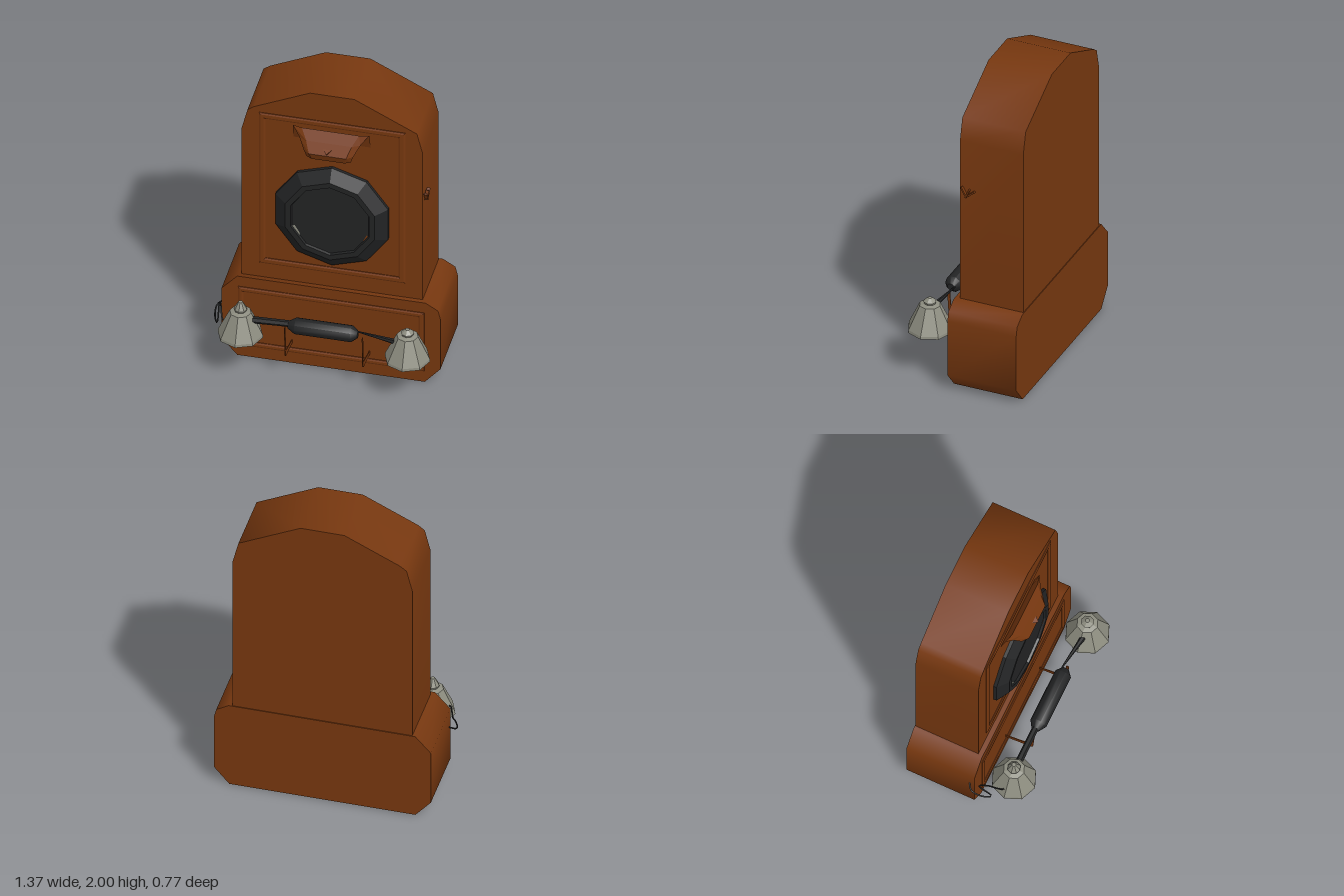
import * as THREE from 'three';
import { toCreasedNormals } from 'three/addons/utils/BufferGeometryUtils.js';

const V = (x, y, z) => new THREE.Vector3(x, y, z);

function flat(geometry) {
  const g = geometry.index ? geometry.toNonIndexed() : geometry;
  g.computeVertexNormals();
  return g;
}

function shapeOf(points) {
  return new THREE.Shape(points.map(([x, y]) => new THREE.Vector2(x, y)));
}

function rect(x0, x1, y0, y1) {
  return [[x0, y0], [x1, y0], [x1, y1], [x0, y1]];
}

export function createModel() {
  const model = new THREE.Group();
  model.name = 'wallTelephone';

  const paint = (name, hex, double) => {
    const m = new THREE.MeshStandardMaterial({ color: hex });
    m.name = name;
    if (double) m.side = THREE.DoubleSide;
    return m;
  };
  const wood = paint('wood', 0x76370f, true);
  const black = paint('black', 0x222324);
  const metal = paint('metal', 0x8d8d80);

  const add = (name, geometry, material, parent = model) => {
    const mesh = new THREE.Mesh(geometry, material);
    mesh.name = name;
    parent.add(mesh);
    return mesh;
  };

  // Cabinet blocks: outline extruded between two depths
  const block = (name, points, z0, z1) => {
    const g = new THREE.ExtrudeGeometry(shapeOf(points), { depth: z1 - z0, bevelEnabled: false });
    g.translate(0, 0, z0);
    add(name, toCreasedNormals(g, 0.9), wood);
  };
  block('upperCabinet', [
    [-0.535, 0.58], [0.565, 0.58], [0.565, 1.67], [0.53, 1.81], [0.15, 2],
    [-0.12, 2], [-0.46, 1.84], [-0.5, 1.81], [-0.535, 1.67],
  ], -0.38, 0.03);
  block('lowerCabinet', [
    [-0.555, 0], [0.585, 0], [0.68, 0.11], [0.68, 0.48], [0.665, 0.54],
    [0.59, 0.585], [-0.555, 0.585], [-0.65, 0.48], [-0.65, 0.11],
  ], -0.385, 0.06);

  // Raised rectangular mouldings on both fronts
  const moulding = (name, x0, x1, y0, y1, w, z) => {
    const s = shapeOf(rect(x0, x1, y0, y1));
    s.holes.push(shapeOf(rect(x0 + w, x1 - w, y0 + w, y1 - w)));
    const g = new THREE.ExtrudeGeometry(s, {
      depth: 0.004, bevelThickness: 0.005, bevelSize: 0.01, bevelOffset: -0.01, bevelSegments: 1,
    });
    g.translate(0, 0, z);
    add(name, g, wood);
  };
  moulding('upperMoulding', -0.43, 0.46, 0.69, 1.805, 0.04, 0.03);
  moulding('lowerMoulding', -0.55, 0.582, 0.08, 0.512, 0.034, 0.06);

  // Ten-sided dial with a raised rim and a sunken face
  const dialProfile = [[0.36, 0.03], [0.36, 0.05], [0.285, 0.1], [0.25, 0.1], [0.245, 0.085], [0, 0.085]];
  const dial = new THREE.LatheGeometry(dialProfile.map(([r, y]) => new THREE.Vector2(r, y)), 10);
  dial.rotateX(Math.PI / 2).translate(0.017, 1.12, 0);
  add('dial', flat(dial), black);

  // Small slivers showing at the lower edge of the dial face
  const sliver = (name, points, material) =>
    add(name, new THREE.ShapeGeometry(shapeOf(points)).translate(0, 0, 0.088), material);
  sliver('dialMetalSliver', [[-0.215, 1.04], [-0.165, 0.97], [-0.17, 1.0], [-0.2, 1.05]], metal);
  sliver('dialLowerSliver', [[-0.09, 0.895], [-0.055, 0.883], [-0.055, 0.9]], wood);
  sliver('dialSideSliver', [[0.215, 1.0], [0.245, 1.03], [0.24, 1.05]], wood);

  // Bent hood: rows of [half width, y, edge z, middle z], joined in strips
  const rows = [
    [0.235, 1.66, 0.03, 0.03], [0.232, 1.77, 0.06, 0.075], [0.185, 1.71, 0.09, 0.115],
    [0.15, 1.645, 0.125, 0.155], [0.135, 1.6, 0.12, 0.14],
  ];
  const steps = [-1, -0.75, 0.75, 1];
  const pos = [];
  const idx = [];
  rows.forEach(([w, y, ze, zm], r) => steps.forEach((t, c) => {
    pos.push(0.015 + w * t, y, Math.abs(t) === 1 ? ze : zm);
    if (r && c) {
      const d = r * 4 + c;
      idx.push(d, d - 4, d - 5, d, d - 5, d - 1);
    }
  }));
  const hood = new THREE.BufferGeometry();
  hood.setAttribute('position', new THREE.Float32BufferAttribute(pos, 3));
  hood.setIndex(idx);
  add('hood', flat(hood), wood);
  const stud = new THREE.ConeGeometry(0.03, 0.03, 3);
  stud.rotateX(Math.PI / 2).translate(0.01, 1.665, 0.152);
  add('hoodStud', flat(stud), wood);

  // Handset grip and rods, lying along x
  const handset = new THREE.Group();
  handset.name = 'handset';
  model.add(handset);
  const grip = [[0, -0.2], [0.024, -0.2], [0.052, -0.155], [0.052, 0.185], [0.022, 0.222], [0, 0.222]];
  const gripGeo = new THREE.LatheGeometry(grip.map(([r, y]) => new THREE.Vector2(r, y)), 10);
  gripGeo.rotateZ(-Math.PI / 2).translate(0, 0.422, 0.243);
  add('grip', toCreasedNormals(gripGeo, 0.7), black, handset);
  const rod = (name, a, b, ra, rb) => {
    const g = new THREE.CylinderGeometry(rb, ra, a.distanceTo(b), 6);
    const m = add(name, flat(g), black, handset);
    m.position.copy(a).lerp(b, 0.5);
    m.quaternion.setFromUnitVectors(V(0, 1, 0), b.clone().sub(a).normalize());
  };
  rod('rightRod', V(-0.19, 0.43, 0.242), V(-0.47, 0.418, 0.242), 0.02, 0.022);
  rod('leftRod', V(0.215, 0.426, 0.219), V(0.46, 0.415, 0.252), 0.004, 0.018);

  // Faceted cups at each end of the handset
  const cup = (name, x, tip) => {
    const p = [[0, 0.3], [0.125, 0.297], [0.138, 0.3], [0.136, 0.318], [0.065, 0.47],
      [0.035, 0.478], [0.04, 0.492], [0.013, tip], [0, tip]];
    const g = new THREE.LatheGeometry(p.map(([r, y]) => new THREE.Vector2(r, y)), 8);
    g.translate(x, 0, 0.243);
    add(name, flat(g), metal, handset);
  };
  cup('rightCup', -0.492, 0.542);
  cup('leftCup', 0.523, 0.515);

  // Thin bent arms that carry the handset
  const armOutline = [[0.055, 0.148], [0.225, 0.172], [0.24, 0.19], [0.252, 0.4], [0.235, 0.4],
    [0.222, 0.212], [0.055, 0.17]];
  for (const [name, x] of [['rightArm', -0.22], ['leftArm', 0.252]]) {
    const g = new THREE.ExtrudeGeometry(shapeOf(armOutline), { depth: 0.005, bevelEnabled: false });
    g.rotateY(-Math.PI / 2).translate(x, 0, 0);
    add(name, g, wood);
  }

  // Loose cord from the cabinet side to the right cup
  const cordPath = new THREE.CatmullRomCurve3([
    V(-0.645, 0.37, 0.025), V(-0.68, 0.345, 0.05), V(-0.676, 0.31, 0.12), V(-0.65, 0.305, 0.17),
    V(-0.655, 0.4, 0.09), V(-0.635, 0.41, 0.14), V(-0.605, 0.37, 0.22), V(-0.57, 0.36, 0.24),
  ]);
  add('cord', new THREE.TubeGeometry(cordPath, 28, 0.005, 5), black);

  // Small crank on the left side of the upper cabinet
  const crank = new THREE.Group();
  crank.name = 'crank';
  model.add(crank);
  for (const [y, z, len, tilt] of [[1.335, 0.0, 0.06, 0.5], [1.325, -0.025, 0.06, -0.4], [1.33, -0.05, 0.05, -0.9]]) {
    const m = add('crankPiece', new THREE.BoxGeometry(0.02, len, 0.01), wood, crank);
    m.position.set(0.578, y, z);
    m.rotation.x = tilt;
  }
  return model;
}
